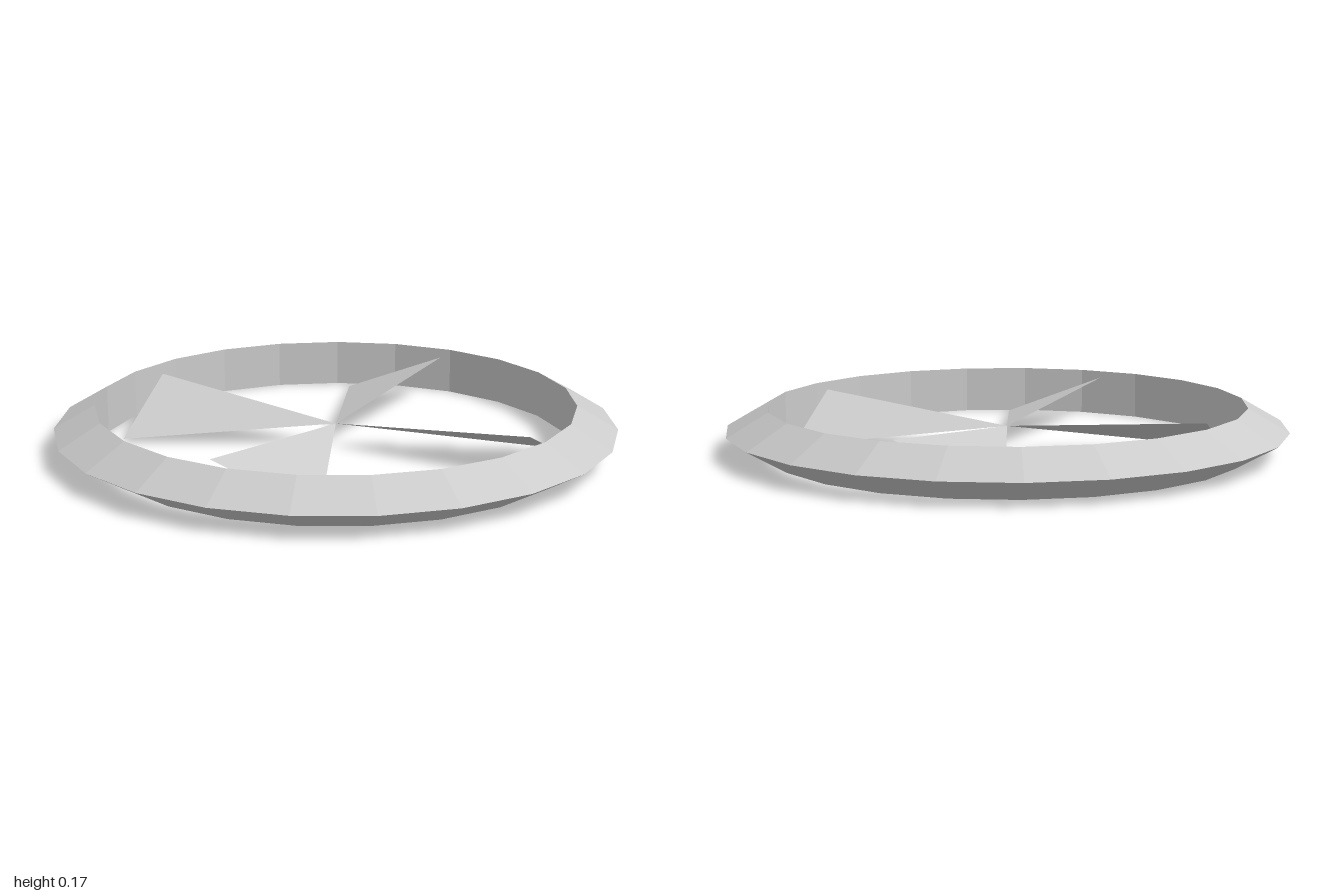
import * as THREE from 'three';

export function createModel() {
  const model = new THREE.Group();
  const material = new THREE.MeshStandardMaterial({ color: 0xcccccc, flatShading: true });
  const bladeMaterial = material.clone();
  bladeMaterial.side = THREE.DoubleSide;

  const midHeight = 0.085;
  const rotor = new THREE.Group();
  rotor.name = 'rotor';
  rotor.position.set(-0.005, midHeight, 0);
  model.add(rotor);

  // Outer ring: 23 segments with a triangular section, sharp edge outwards
  const ring = new THREE.Mesh(new THREE.TorusGeometry(0.904, 0.098, 3, 23), material);
  ring.name = 'outerRing';
  ring.rotation.x = -Math.PI / 2;
  rotor.add(ring);

  // Four thin pitched blades meeting at the centre
  const bladeGeometry = new THREE.BufferGeometry();
  bladeGeometry.setAttribute('position', new THREE.Float32BufferAttribute([
    0, 0, 0,
    0.66, 0.074, -0.396,
    0.396, -0.074, -0.66,
  ], 3));
  bladeGeometry.computeVertexNormals();
  for (let i = 0; i < 4; i++) {
    const blade = new THREE.Mesh(bladeGeometry, bladeMaterial);
    blade.name = `blade${i + 1}`;
    blade.rotation.y = (i * Math.PI) / 2;
    rotor.add(blade);
  }

  return model;
}
